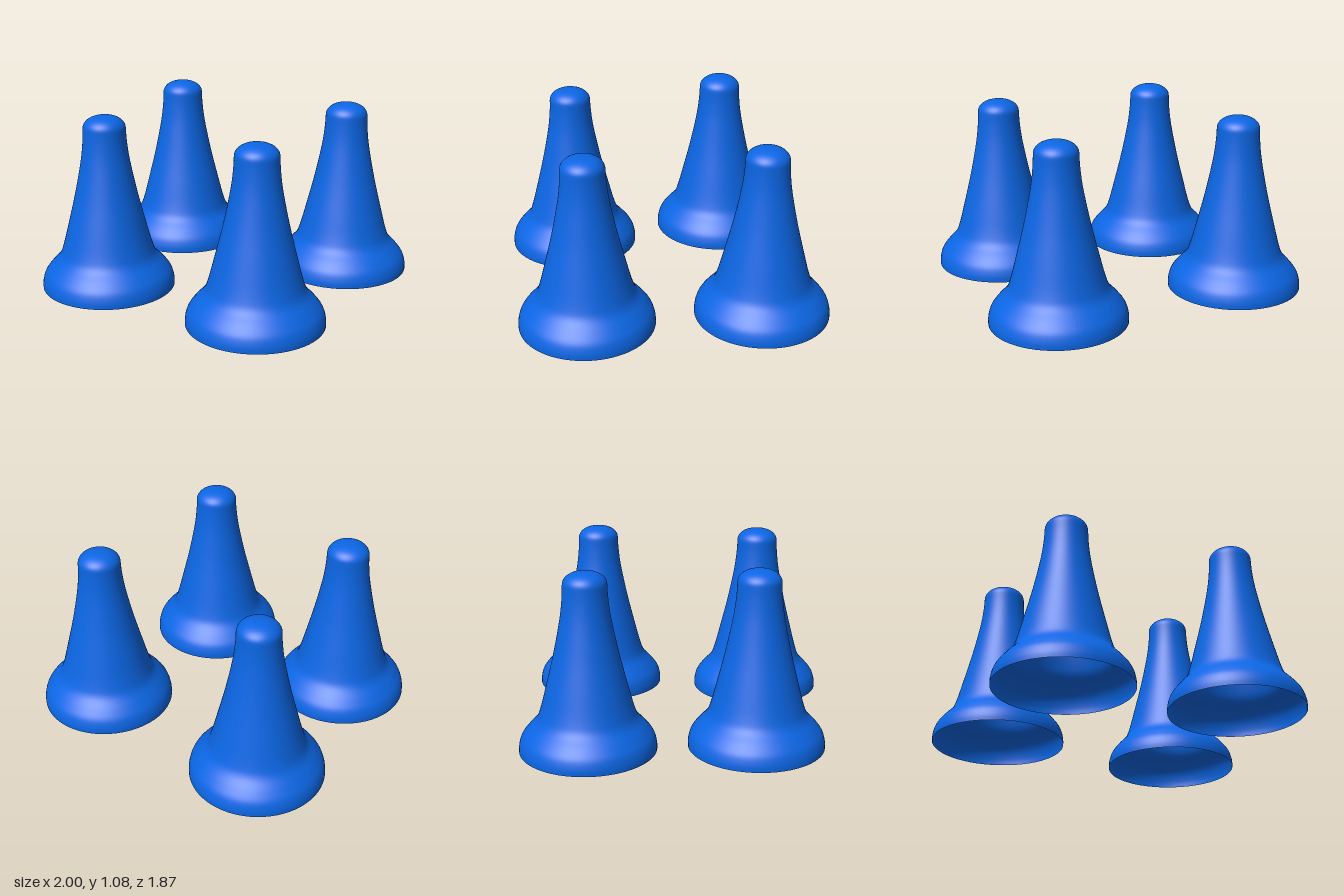
import * as THREE from 'three';

// Four hollow, bell-shaped pegs with rounded tips and open bases.
export function createModel() {
  const group = new THREE.Group();
  group.name = 'pegs';
  const blue = new THREE.MeshStandardMaterial({ color: 0x0c66e4, side: THREE.DoubleSide });
  blue.name = 'blue';

  // Flared skirt and tapering stem, as radius and height
  const wall = new THREE.SplineCurve([
    [0.406, 0], [0.404, 0.04], [0.388, 0.09], [0.35, 0.14], [0.3, 0.195], [0.273, 0.26],
    [0.236, 0.4], [0.187, 0.6], [0.147, 0.8], [0.132, 0.92], [0.128, 1.0],
  ].map(([r, y]) => new THREE.Vector2(r, y)));
  const profile = wall.getPoints(50);

  // Rounded tip
  for (let i = 1; i <= 12; i++) {
    const a = (i / 12) * Math.PI / 2;
    profile.push(new THREE.Vector2(
      i === 12 ? 0 : 0.128 * Math.pow(Math.cos(a), 0.85),
      1.0 + 0.075 * Math.sin(a)));
  }
  const geometry = new THREE.LatheGeometry(profile, 64);

  const places = {
    backRightPeg: [-0.595, -0.463],
    backLeftPeg: [0.592, -0.53],
    frontRightPeg: [-0.48, 0.524],
    frontLeftPeg: [0.578, 0.518],
  };
  for (const [name, [x, z]] of Object.entries(places)) {
    const peg = new THREE.Mesh(geometry, blue);
    peg.name = name;
    peg.position.set(x, 0, z);
    group.add(peg);
  }
  return group;
}
